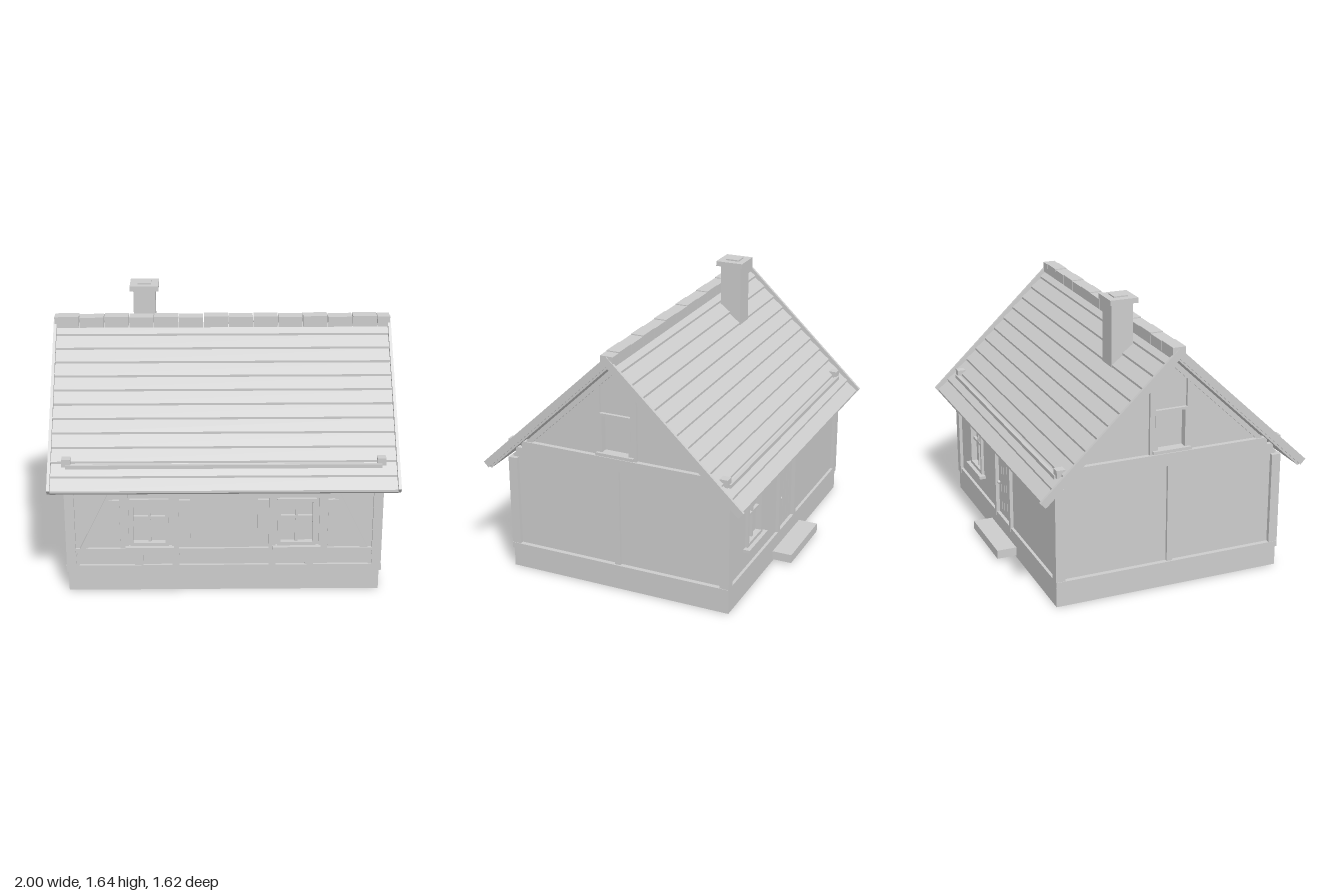
import * as THREE from 'three';

const SLOPE = 0.95; // roof fall per unit of depth

export function createModel() {
  const house = new THREE.Group();
  house.name = 'house';
  const stone = new THREE.MeshStandardMaterial({ color: 0xcccccc });
  stone.name = 'pale grey';

  const add = (name, geometry, parent = house) => {
    const mesh = new THREE.Mesh(geometry, stone);
    mesh.name = name;
    parent.add(mesh);
    return mesh;
  };
  const box = (name, x0, x1, y0, y1, z0, z1, parent) => {
    const g = new THREE.BoxGeometry(Math.abs(x1 - x0), y1 - y0, Math.abs(z1 - z0));
    return add(name, g.translate((x0 + x1) / 2, (y0 + y1) / 2, (z0 + z1) / 2), parent);
  };
  const outline = (pts, holes = []) => {
    const shape = new THREE.Shape(pts.map(p => new THREE.Vector2(...p)));
    for (const h of holes) shape.holes.push(new THREE.Path(h.map(p => new THREE.Vector2(...p))));
    return shape;
  };
  const rect = (a, b, c, d) => [[a, c], [b, c], [b, d], [a, d]];
  const solid = (shape, depth) => new THREE.ExtrudeGeometry(shape, { depth, bevelEnabled: false });
  // Prisms running along z, or along x with the profile drawn in depth and height
  const prismZ = (name, shape, z0, z1) => add(name, solid(shape, z1 - z0).translate(0, 0, z0));
  const prismX = (name, shape, x0, x1) =>
    add(name, solid(shape, x1 - x0).rotateY(Math.PI / 2).translate(x0, 0, 0));

  // Foundation ring, open underneath
  const ring = outline(rect(-0.905, 0.905, -0.69, 0.69), [rect(-0.8, 0.8, -0.585, 0.585)]);
  add('foundation', solid(ring, 0.13).rotateX(-Math.PI / 2));

  // Long walls with window and door openings
  const wall = rect(-0.89, 0.89, 0.12, 0.715);
  const winHole = x => rect(x - 0.11, x + 0.11, 0.285, 0.58);
  prismZ('frontWall', outline(wall, [winHole(-0.43), winHole(0.42)]), 0.59, 0.675);
  prismZ('backWall', outline(wall, [winHole(0.52), rect(-0.12, 0.12, 0.14, 0.62)]), -0.675, -0.59);

  // Front and back windows: frame, glass, cross bars and sill
  const longWindow = (x, side) => {
    const g = new THREE.Group();
    g.name = 'window';
    house.add(g);
    const z = 0.675 * side, out = 0.692 * side;
    box('glass', x - 0.11, x + 0.11, 0.285, 0.58, 0.65 * side, 0.656 * side, g);
    for (const s of [-1, 1]) box('frameSide', x + s * 0.092, x + s * 0.112, 0.285, 0.582, 0.64 * side, out, g);
    for (const y of [0.285, 0.562]) box('frameRail', x - 0.092, x + 0.092, y, y + 0.02, 0.64 * side, out, g);
    box('mullion', x - 0.008, x + 0.008, 0.305, 0.562, 0.65 * side, z, g);
    box('crossBar', x - 0.092, x + 0.092, 0.452, 0.468, 0.65 * side, z, g);
    box('sill', x - 0.14, x + 0.14, 0.266, 0.284, 0.66 * side, 0.715 * side, g);
  };
  longWindow(-0.43, 1);
  longWindow(0.42, 1);
  longWindow(0.52, -1);

  // Front timber frame
  box('frontSillBeam', -0.905, 0.905, 0.12, 0.16, 0.66, 0.692);
  box('frontRail', -0.88, 0.88, 0.24, 0.268, 0.66, 0.692);
  box('frontTopBeam', -0.88, 0.88, 0.66, 0.71, 0.66, 0.688);
  box('backSillBeam', -0.905, 0.905, 0.12, 0.155, -0.692, -0.66);
  box('backTopBeam', -0.88, 0.88, 0.66, 0.71, -0.688, -0.66);
  for (const s of [-1, 1]) {
    box('lowPost', s * 0.47, s * 0.52, 0.15, 0.25, 0.66, 0.69);
    box('innerPost', s * 0.26, s * 0.3, 0.15, 0.7, 0.66, 0.69);
    box('outerPost', s * 0.55, s * 0.6, 0.26, 0.7, 0.66, 0.69);
    box('innerShutter', s * 0.195, s * 0.258, 0.285, 0.577, 0.67, 0.695);
    box('outerShutter', s * 0.6, s * 0.66, 0.285, 0.577, 0.67, 0.695);
    const brace = [[-0.897, 0.14], [-0.852, 0.14], [-0.585, 0.69], [-0.63, 0.69]];
    prismZ('brace', outline(brace.map(([x, y]) => [-s * x, y])), 0.66, 0.688);
    for (const f of [-1, 1]) box('cornerPost', s * 0.86, s * 0.915, 0.12, 0.71, f * 0.64, f * 0.695);
  }

  // Back door with planks, frame, lintel, knob and step
  for (let i = 0; i < 5; i++) {
    const x = -0.12 + i * 0.048;
    box('doorPlank', x + 0.002, x + 0.046, 0.14, 0.615, -0.672, -0.64);
  }
  box('doorBack', -0.12, 0.12, 0.14, 0.62, -0.66, -0.635);
  for (const s of [-1, 1]) box('doorFrame', s * 0.118, s * 0.145, 0.13, 0.63, -0.695, -0.63);
  box('doorLintel', -0.16, 0.16, 0.615, 0.65, -0.705, -0.63);
  const knob = add('doorKnob', new THREE.SphereGeometry(0.011, 10, 8));
  knob.position.set(0.095, 0.36, -0.682);
  box('doorStep', -0.23, 0.225, 0.012, 0.065, -0.81, -0.68);

  // Gable ends
  const gableWall = outline(
    [[-0.675, 0.12], [0.675, 0.12], [0.675, 0.725], [0, 1.37], [-0.675, 0.725]],
    [rect(-0.085, 0.085, 0.85, 1.07)]);
  const rafters = outline([[0.605, 0.8], [0, 1.375], [-0.605, 0.8], [-0.563, 0.8], [0, 1.335], [0.563, 0.8]]);
  const gablePost = s => outline([[0.095, 0.82], [0.13, 0.82], [0.13, 1.235], [0.095, 1.27]].map(([z, y]) => [s * z, y]));
  for (const s of [-1, 1]) {
    const span = (a, b) => [Math.min(s * a, s * b), Math.max(s * a, s * b)];
    prismX('gableWall', gableWall, ...span(0.805, 0.89));
    prismX('gableRafters', rafters, ...span(0.88, 0.91));
    for (const f of [-1, 1]) prismX('gablePost', gablePost(f), ...span(0.88, 0.908));
    box('gableSillBeam', s * 0.87, s * 0.918, 0.122, 0.157, -0.692, 0.692);
    box('gableMiddlePost', s * 0.88, s * 0.908, 0.15, 0.76, -0.017, 0.017);
    box('gableLowerBeam', s * 0.88, s * 0.91, 0.748, 0.78, -0.645, 0.645);
    box('gableUpperBeam', s * 0.88, s * 0.918, 0.78, 0.826, -0.6, 0.6);
    // Attic window
    box('atticGlass', s * 0.86, s * 0.866, 0.85, 1.07, -0.085, 0.085);
    for (const f of [-1, 1]) box('atticFrame', s * 0.85, s * 0.91, 0.845, 1.08, f * 0.083, f * 0.097);
    box('atticHeader', s * 0.85, s * 0.91, 1.07, 1.085, -0.097, 0.097);
    box('atticSill', s * 0.87, s * 0.925, 0.832, 0.85, -0.115, 0.115);
  }

  // Roof with overlapping board rows on both slopes
  const rows = 12, reach = 0.79;
  const half = [];
  for (let i = 1; i <= rows; i++) {
    const z = i * reach / rows, y = 1.42 - SLOPE * z;
    half.push([z, y + 0.013], [z, y]);
  }
  half.push([reach - 0.02, 1.385 - SLOPE * (reach - 0.02)]);
  const mirrored = half.map(([z, y]) => [-z, y]).reverse();
  prismX('roof', outline([[0, 1.42], ...half, [0, 1.385], ...mirrored]), -0.985, 0.985);

  // Verge boards at both ends
  const verge = outline([[0, 1.46], [0.81, 0.692], [0.78, 0.66], [0, 1.4], [-0.78, 0.66], [-0.81, 0.692]]);
  prismX('vergeBoard', verge, 0.983, 1);
  prismX('vergeBoard', verge, -1, -0.983);

  // Ridge caps
  for (let i = 0; i < 14; i++) {
    const x0 = -0.995 + i * 0.1475, x1 = Math.min(x0 + 0.143, 0.995);
    box('ridgeCap', x0, x1, 1.4, i % 2 ? 1.462 : 1.466, -0.04, 0.037);
  }

  // Snow guards low on each slope
  for (const f of [-1, 1]) {
    box('snowBar', -0.9, 0.9, 0.775, 0.797, f * 0.672, f * 0.694);
    for (const s of [-1, 1]) box('snowBracket', s * 0.872, s * 0.922, 0.785, 0.83, f * 0.635, f * 0.685);
  }

  // Chimney
  box('chimneyStack', -0.53, -0.4, 1.2, 1.6, -0.2, -0.07);
  box('chimneyCap', -0.55, -0.38, 1.598, 1.628, -0.216, -0.046);
  box('chimneyFlue', -0.505, -0.425, 1.62, 1.636, -0.175, -0.09);

  return house;
}
